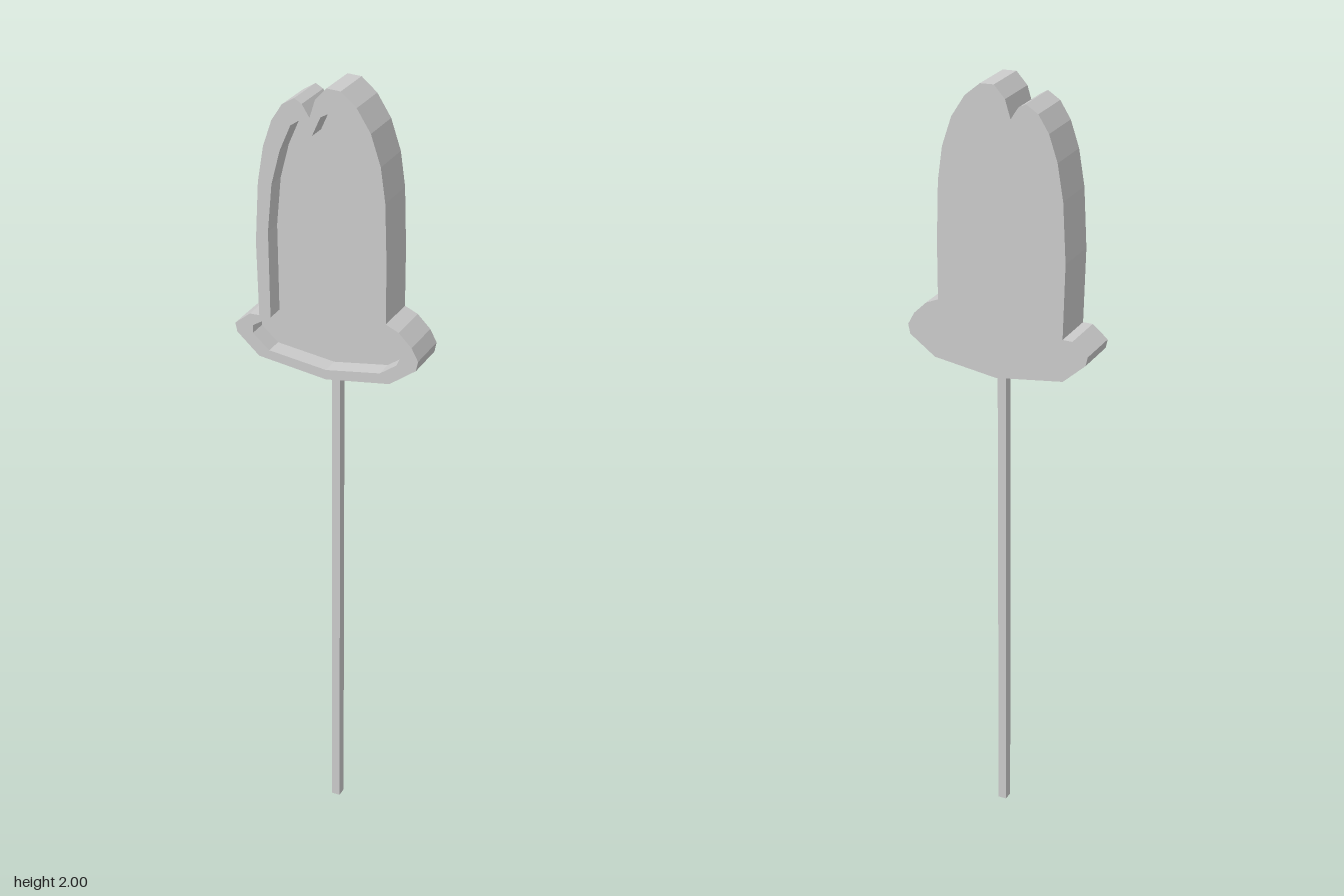
import * as THREE from 'three';

// Outlines run clockwise from the right-hand lobe of the notched top
const OUTER = [
  [0.003, 2], [0.038, 1.998], [0.077, 1.965], [0.112, 1.91], [0.137, 1.835], [0.149, 1.75],
  [0.154, 1.6], [0.154, 1.45], [0.187, 1.435], [0.22, 1.402], [0.237, 1.37], [0.232, 1.345],
  [0.165, 1.297], [0, 1.275], [-0.177, 1.302], [-0.235, 1.355], [-0.24, 1.378],
  [-0.2, 1.41], [-0.175, 1.41], [-0.18, 1.6], [-0.172, 1.75], [-0.157, 1.84],
  [-0.135, 1.905], [-0.108, 1.947], [-0.077, 1.966], [-0.058, 1.955], [-0.039, 1.925],
  [-0.025, 1.97],
];
const INNER = [
  [0.013, 1.944], [0.05, 1.932], [0.082, 1.88], [0.108, 1.795], [0.12, 1.68],
  [0.127, 1.412], [0.17, 1.397], [0.193, 1.375], [0.183, 1.35], [0.14, 1.32],
  [0, 1.3], [-0.15, 1.322], [-0.193, 1.36], [-0.193, 1.38], [-0.145, 1.41],
  [-0.148, 1.63], [-0.137, 1.75], [-0.115, 1.835], [-0.087, 1.9], [-0.065, 1.915],
  [-0.045, 1.905], [-0.033, 1.883], [-0.012, 1.93],
];
const BACK = -0.058, FLOOR = 0.008, FRONT = 0.057;

const toPoints = (list) => list.map(([x, y]) => new THREE.Vector2(x, y));

export function createModel() {
  const group = new THREE.Group();
  const material = new THREE.MeshStandardMaterial({ color: 0xcccccc, flatShading: true });

  const add = (name, geometry, x, y, z) => {
    const mesh = new THREE.Mesh(geometry, material);
    mesh.name = name;
    mesh.position.set(x, y, z);
    group.add(mesh);
  };
  const extrude = (shape, depth) =>
    new THREE.ExtrudeGeometry(shape, { depth, bevelEnabled: false });

  // Raised rim, full depth; the hole runs the other way so its walls face inward
  const rim = new THREE.Shape(toPoints(OUTER));
  rim.holes.push(new THREE.Path(toPoints(INNER).reverse()));
  add('rim', extrude(rim, FRONT - BACK), 0, 0, BACK);

  // Panel filling the rim from the back up to the recess floor
  add('recessedPanel', extrude(new THREE.Shape(toPoints(INNER)), FLOOR - BACK), 0, 0, BACK);

  // Thin square stick
  add('stick', new THREE.BoxGeometry(0.022, 1.285, 0.026), 0.007, 0.6425, 0.001);

  return group;
}
